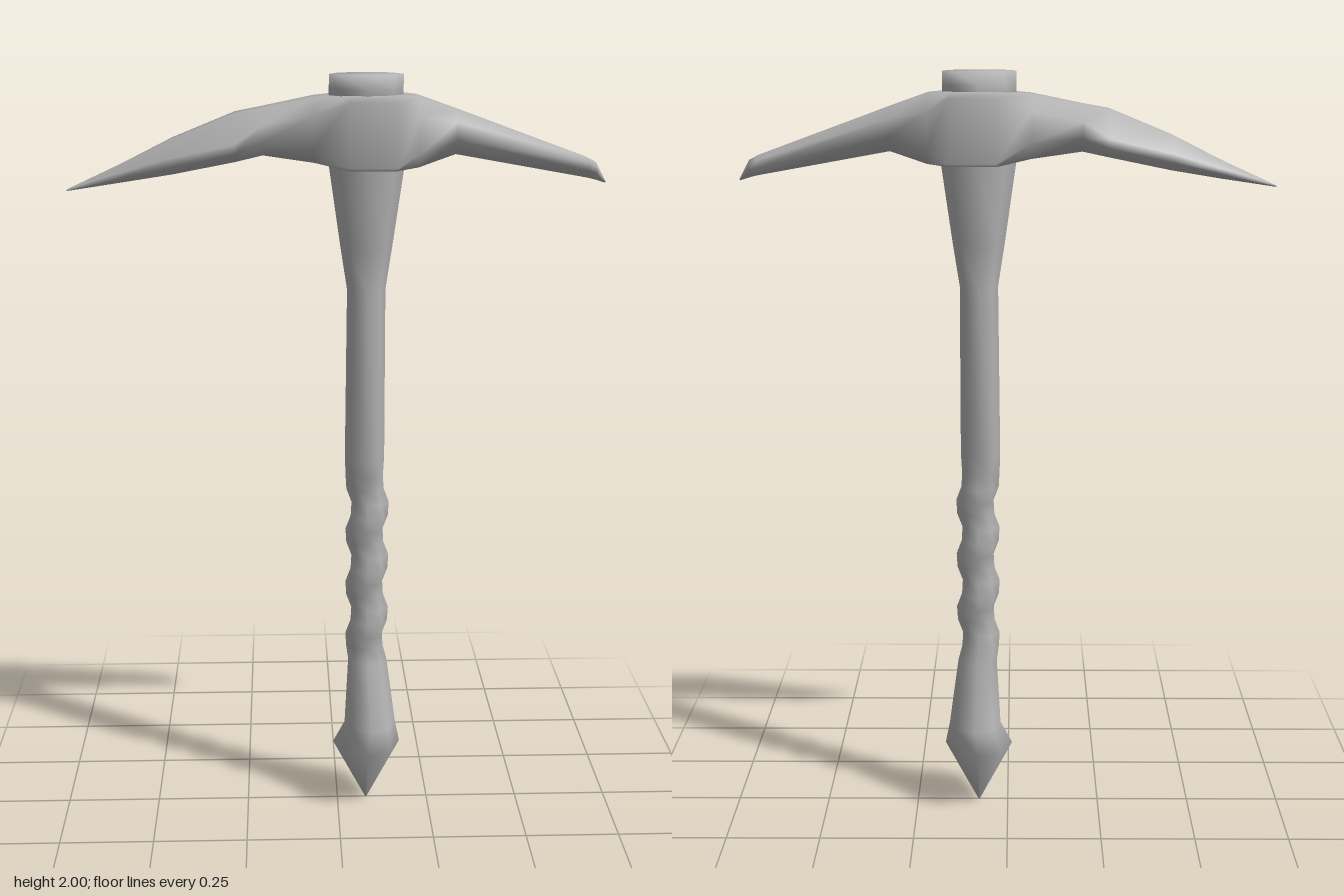
import * as THREE from 'three';

const steel = new THREE.MeshStandardMaterial({ color: 0xb3b3b3 });
steel.name = 'grey';

// Skin a list of equal-length rings, closing both ends, with smooth normals.
function loft(name, rings) {
  const n = rings[0].length;
  const pos = rings.flat(2);
  const index = [];
  for (let r = 0; r < rings.length - 1; r++) {
    for (let i = 0; i < n; i++) {
      const a = r * n + i, b = r * n + (i + 1) % n;
      index.push(a, b, a + n, b, b + n, a + n);
    }
  }
  // end caps fan out from the ring centres
  const last = rings.length - 1;
  for (const r of [0, last]) {
    const c = pos.length / 3;
    for (let k = 0; k < 3; k++) pos.push(rings[r].reduce((s, p) => s + p[k], 0) / n);
    for (let i = 0; i < n; i++) {
      const a = r * n + i, b = r * n + (i + 1) % n;
      if (r === 0) index.push(c, b, a);
      else index.push(c, a, b);
    }
  }
  const geo = new THREE.BufferGeometry();
  geo.setAttribute('position', new THREE.Float32BufferAttribute(pos, 3));
  geo.setIndex(index);
  geo.computeVertexNormals();
  const mesh = new THREE.Mesh(geo, steel);
  mesh.name = name;
  return mesh;
}

// Horizontal ring of the handle: height, left and right x, front and back z.
function handleRing([y, x0, x1, zf, zb], bump = () => 0) {
  const ring = [], sides = 8;
  for (let i = 0; i < sides; i++) {
    const t = (i / sides) * Math.PI * 2, b = bump(t);
    const s = Math.sin(t), c = Math.cos(t);
    ring.push([
      (x0 + x1) / 2 + s * ((x1 - x0) / 2 + b),
      y,
      (zf + zb) / 2 + c * ((zf - zb) / 2 + b),
    ]);
  }
  return ring;
}

// Upright ring of the head: x, bottom and top y, front and back z,
// z share of the flat top and bottom, heights of the lower and upper side corners.
function headRing([x, y0, y1, zf, zb, top, bot, lo, hi]) {
  const h = y1 - y0;
  return [
    [zf * bot, y0], [zb * bot, y0], [zb, y0 + h * lo], [zb, y0 + h * hi],
    [zb * top, y1], [zf * top, y1], [zf, y0 + h * hi], [zf, y0 + h * lo],
  ].map(([z, y]) => [x, y, z]);
}

export function createModel() {
  const model = new THREE.Group();
  model.name = 'pickaxe';

  // pointed pommel flowing into the grip
  const pommel = [
    [0.005, 0.078, 0.082, 0.002, -0.002],
    [0.175, -0.012, 0.172, 0.105, -0.105],
    [0.235, 0.02, 0.16, 0.085, -0.083],
    [0.42, 0.03, 0.135, 0.042, -0.055],
  ].map((r) => handleRing(r));

  // spiral wrapping on the grip
  const grip = [];
  for (let y = 0.46; y < 0.96; y += 0.0375) {
    grip.push(handleRing([y, 0.03, 0.13, 0.045, -0.045],
      (t) => 0.01 * Math.cos((y - 0.52) / 0.15 * Math.PI * 2 - t)));
  }

  // plain shaft, flaring below the head
  const shaft = [
    [1.0, 0.02, 0.125, 0.055, -0.055],
    [1.45, 0.025, 0.125, 0.06, -0.06],
    [1.56, 0.008, 0.142, 0.066, -0.075],
    [1.77, -0.022, 0.172, 0.085, -0.083],
    [1.85, -0.022, 0.172, 0.088, -0.085],
  ].map((r) => handleRing(r));
  model.add(loft('handle', [...pommel, ...grip, ...shaft]));

  // handle end showing above the head
  model.add(loft('handleTop', [
    [1.88, -0.022, 0.167, 0.095, -0.09],
    [1.965, -0.022, 0.167, 0.095, -0.085],
    [2.0, -0.022, 0.167, 0.095, -0.065],
  ].map((r) => handleRing(r))));

  // head: long blade, collar block and short pick
  model.add(loft('head', [
    [-0.69, 1.708, 1.712, 0.002, -0.002, 0.6, 0.5, 0.3, 0.7],
    [-0.55, 1.73, 1.775, 0.03, -0.065, 0.4, 0.3, 0.3, 0.6],
    [-0.42, 1.752, 1.84, 0.062, -0.068, 0.45, 0.45, 0.25, 0.5],
    [-0.26, 1.785, 1.905, 0.102, -0.072, 0.4, 0.5, 0.2, 0.4],
    [-0.19, 1.8, 1.918, 0.072, -0.074, 0.5, 0.5, 0.3, 0.65],
    [-0.06, 1.782, 1.944, 0.086, -0.082, 0.6, 0.55, 0.25, 0.75],
    [0.028, 1.766, 1.95, 0.122, -0.124, 0.75, 0.8, 0.05, 0.92],
    [0.148, 1.766, 1.95, 0.122, -0.124, 0.75, 0.8, 0.05, 0.92],
    [0.205, 1.77, 1.945, 0.088, -0.09, 0.6, 0.55, 0.2, 0.75],
    [0.3, 1.8, 1.912, 0.068, -0.08, 0.55, 0.3, 0.35, 0.75],
    [0.64, 1.738, 1.788, 0.038, -0.044, 0.6, 0.25, 0.4, 0.8],
    [0.66, 1.733, 1.778, 0.03, -0.034, 0.6, 0.25, 0.4, 0.8],
    [0.688, 1.724, 1.73, 0.006, -0.008, 0.6, 0.4, 0.4, 0.8],
  ].map(headRing)));

  // make every face point outward
  model.children.forEach((mesh) => {
    const g = mesh.geometry, p = g.attributes.position, ix = g.index.array;
    const [a, b, c] = [0, 1, 2].map(() => new THREE.Vector3());
    let volume = 0;
    for (let i = 0; i < ix.length; i += 3) {
      a.fromBufferAttribute(p, ix[i]);
      b.fromBufferAttribute(p, ix[i + 1]);
      c.fromBufferAttribute(p, ix[i + 2]);
      volume += a.dot(b.cross(c));
    }
    if (volume < 0) {
      g.setIndex(Array.from(ix).reverse());
      g.computeVertexNormals();
    }
  });
  return model;
}
